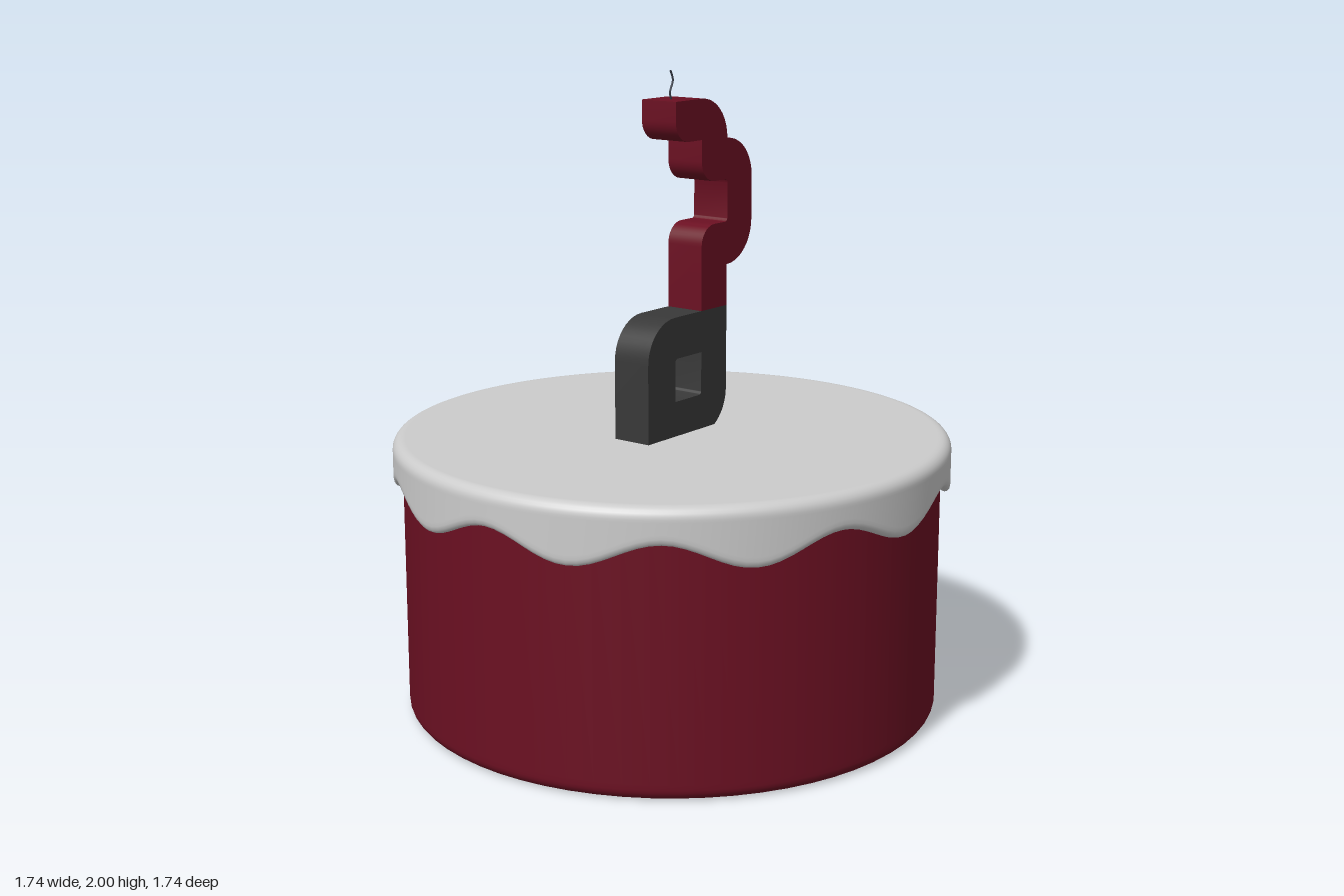
import * as THREE from 'three';
import { toCreasedNormals } from 'three/addons/utils/BufferGeometryUtils.js';

const material = (color) => new THREE.MeshStandardMaterial({ color });

function part(name, geometry, mat) {
  const mesh = new THREE.Mesh(geometry, mat);
  mesh.name = name;
  return mesh;
}

// Closed outline from [x, y, cornerRadius] points
function outline(points, path) {
  const n = points.length;
  points.forEach(([x, y, r = 0], i) => {
    const corner = new THREE.Vector2(x, y);
    const toward = (p) => new THREE.Vector2(p[0], p[1]).sub(corner).normalize().multiplyScalar(r).add(corner);
    const a = toward(points[(i + n - 1) % n]);
    const b = toward(points[(i + 1) % n]);
    if (i === 0) path.moveTo(a.x, a.y);
    else path.lineTo(a.x, a.y);
    if (r > 0) {
      const k = 0.5523;
      const c1 = a.clone().lerp(corner, k);
      const c2 = b.clone().lerp(corner, k);
      path.bezierCurveTo(c1.x, c1.y, c2.x, c2.y, b.x, b.y);
    }
  });
  path.closePath();
  return path;
}

function slab(shape, depth) {
  const geometry = new THREE.ExtrudeGeometry(shape, { depth, bevelEnabled: false, curveSegments: 10 });
  geometry.translate(0, 0, -depth / 2);
  return toCreasedNormals(geometry, Math.PI / 6);
}

// Icing cap whose lower lip rises and falls around the cake
function icingGeometry() {
  const columns = 160, radius = 0.87, top = 0.88, fillet = 0.035;
  const section = (edge) => {
    const s = [[0, top], [0.8, top], [0.83, top]];
    for (let i = 0; i <= 6; i++) {
      const t = (i / 6) * Math.PI / 2;
      s.push([radius - fillet + fillet * Math.sin(t), top - fillet + fillet * Math.cos(t)]);
    }
    s.push([radius, top - fillet - 0.008], [radius, edge + 0.035]);
    for (let i = 0; i <= 6; i++) {
      const t = (i / 6) * Math.PI;
      s.push([0.853 + 0.017 * Math.cos(t), edge + 0.022 - 0.022 * Math.sin(t)]);
    }
    s.push([0.836, edge + 0.06]);
    return s;
  };
  const rows = section(0).length;
  const positions = [], index = [];
  for (let j = 0; j < columns; j++) {
    const angle = (j / columns) * Math.PI * 2;
    for (const [r, y] of section(0.731 - 0.037 * Math.cos(10 * angle))) {
      positions.push(r * Math.sin(angle), y, r * Math.cos(angle));
    }
    const next = (j + 1) % columns;
    for (let i = 0; i < rows - 1; i++) {
      const a = j * rows + i, c = next * rows + i;
      if (i > 0) index.push(a, a + 1, c);
      index.push(a + 1, c + 1, c);
    }
  }
  const geometry = new THREE.BufferGeometry();
  geometry.setAttribute('position', new THREE.Float32BufferAttribute(positions, 3));
  geometry.setIndex(index);
  geometry.computeVertexNormals();
  return geometry;
}

export function createModel() {
  const model = new THREE.Group();
  model.name = 'cake';
  const red = material(0x6b1022);
  const dark = material(0x383838);

  // Cake body with a rounded bottom edge
  const profile = [new THREE.Vector2(0, 0), new THREE.Vector2(0.79, 0)];
  for (let i = 0; i <= 6; i++) {
    const t = (i / 6) * Math.PI / 2;
    profile.push(new THREE.Vector2(0.805 + 0.035 * Math.sin(t), 0.035 - 0.035 * Math.cos(t)));
  }
  profile.push(new THREE.Vector2(0.84, 0.05), new THREE.Vector2(0.84, 0.85));
  model.add(part('cakeBody', new THREE.LatheGeometry(profile, 64), red));
  model.add(part('icing', icingGeometry(), material(0xcccccc)));

  // Candle: a dark ring below, a winding red bar above
  const candle = new THREE.Group();
  candle.name = 'candle';
  const depth = 0.13;

  const ring = outline([[-0.2, 0.86], [0.195, 0.86, 0.13], [0.195, 1.255], [-0.2, 1.255, 0.13]], new THREE.Shape());
  ring.holes.push(outline(
    [[-0.067, 0.99], [-0.067, 1.125, 0.012], [0.065, 1.125], [0.065, 0.99, 0.012]], new THREE.Path()));
  candle.add(part('candleBase', slab(ring, depth), dark));

  const bar = outline([
    [0.065, 1.255], [0.195, 1.255], [0.195, 1.385], [0.325, 1.385, 0.13], [0.325, 1.78, 0.13],
    [0.195, 1.78], [0.195, 1.91, 0.13], [-0.065, 1.91], [-0.065, 1.785, 0.065], [0.065, 1.785],
    [0.065, 1.653, 0.065], [0.197, 1.653, 0.012], [0.197, 1.52, 0.012], [0.065, 1.52, 0.065],
  ], new THREE.Shape());
  candle.add(part('candleTop', slab(bar, depth), red));

  // Wavy wick
  const wick = new THREE.CatmullRomCurve3(
    [[0, 1.9], [-0.01, 1.93], [0.004, 1.967], [-0.008, 1.998]].map(([x, y]) => new THREE.Vector3(x, y, 0)));
  candle.add(part('wick', new THREE.TubeGeometry(wick, 24, 0.003, 8), material(0x3a3f4a)));

  model.add(candle);
  return model;
}
